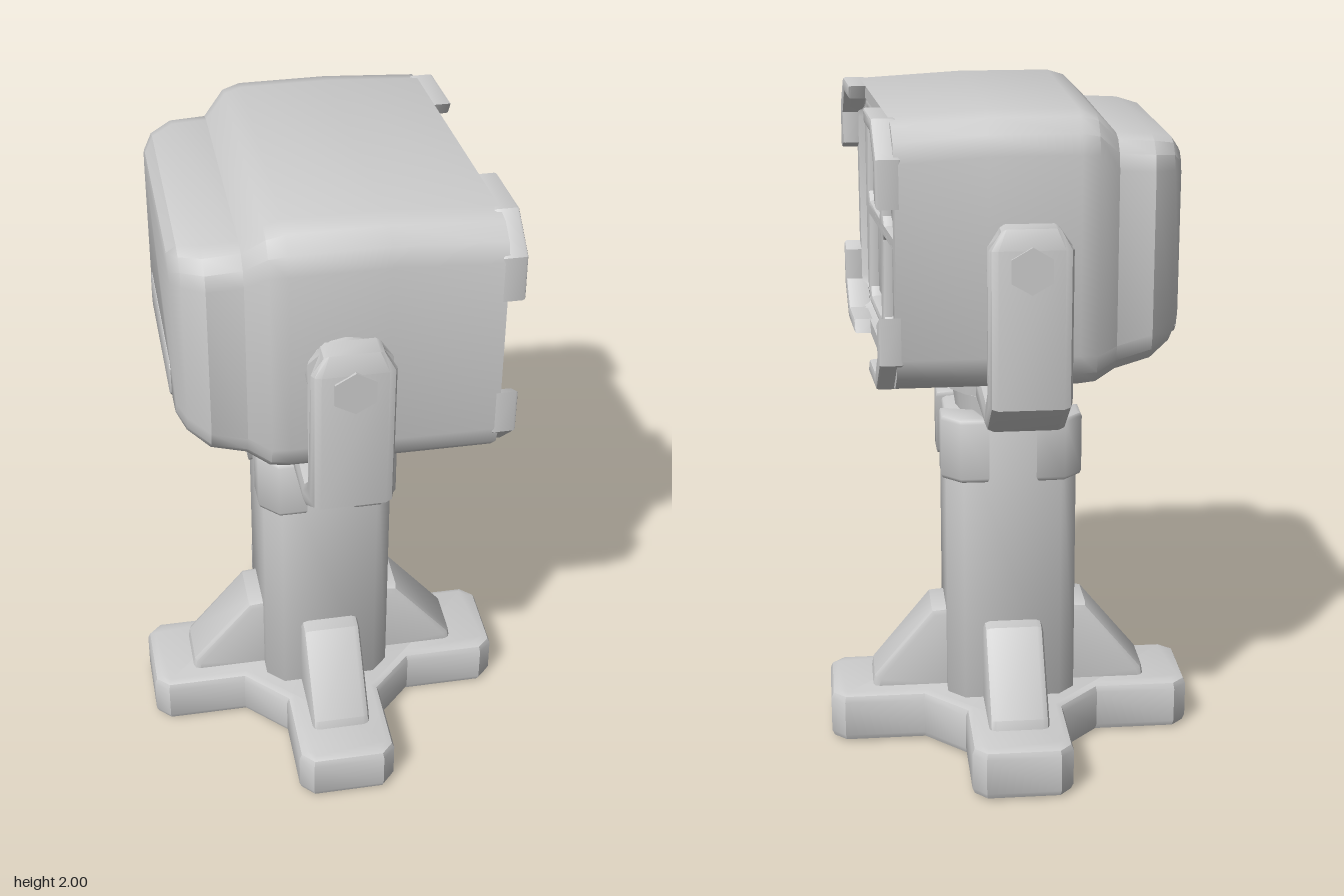
import * as THREE from 'three';
import { toCreasedNormals } from 'three/addons/utils/BufferGeometryUtils.js';

const grey = new THREE.MeshStandardMaterial({ color: 0xcccccc });
grey.name = 'plain grey';

function add(parent, name, geo, crease = 0.6) {
  const mesh = new THREE.Mesh(toCreasedNormals(geo, crease), grey);
  mesh.name = name;
  parent.add(mesh);
  return mesh;
}

const shapeOf = (pts) => new THREE.Shape(pts.map(([x, y]) => new THREE.Vector2(x, y)));

// Bevelled extrusion filling the given depth; the bevel stays inside the outline
function slab(shape, depth, bevel) {
  return new THREE.ExtrudeGeometry(shape, {
    depth: depth - 2 * bevel, bevelEnabled: true, bevelSize: bevel,
    bevelThickness: bevel, bevelOffset: -bevel, bevelSegments: 2,
  }).translate(0, 0, bevel);
}
const upright = (geo, y) => geo.rotateX(-Math.PI / 2).translate(0, y, 0);
const alongX = (geo, x) => geo.rotateY(Math.PI / 2).translate(x, 0, 0);

// Rectangle with cut corners, centred on the origin
function cutRect(w, h, c) {
  return [[w, -h + c], [w, h - c], [w - c, h], [-w + c, h],
    [-w, h - c], [-w, -h + c], [-w + c, -h], [w - c, -h]];
}

// Skin through rounded rectangles [x, bottom, top, halfWidth, cornerRadius]
function loft(rings) {
  const pos = [], index = [], steps = 3, n = 4 * (steps + 1);
  for (const [x, y0, y1, w, c] of rings) {
    const mid = (y0 + y1) / 2, h = (y1 - y0) / 2;
    for (let q = 0; q < 4; q++) {
      const sz = q === 0 || q === 3 ? 1 : -1, sy = q < 2 ? 1 : -1;
      for (let k = 0; k <= steps; k++) {
        const a = (q + k / steps) * Math.PI / 2;
        pos.push(x, mid + sy * (h - c) + c * Math.sin(a), -(sz * (w - c) + c * Math.cos(a)));
      }
    }
  }
  for (let i = 0; i < rings.length - 1; i++) {
    for (let j = 0; j < n; j++) {
      const a = i * n + j, b = i * n + (j + 1) % n;
      index.push(a, b, b + n, a, b + n, a + n);
    }
  }
  const end = (rings.length - 1) * n;
  for (let j = 1; j < n - 1; j++) {
    index.push(0, j + 1, j, end, end + j, end + j + 1);
  }
  const geo = new THREE.BufferGeometry();
  geo.setAttribute('position', new THREE.Float32BufferAttribute(pos, 3));
  geo.setIndex(index);
  return geo;
}

// The front of the lamp housing is slightly skewed
function skew(geo) {
  const p = geo.attributes.position;
  for (let i = 0; i < p.count; i++) {
    const f = THREE.MathUtils.clamp(p.getX(i) / 0.33, 0, 1);
    p.setX(i, p.getX(i) + 0.08 * f * p.getZ(i));
  }
  return geo;
}

function buildStand(model) {
  // Cross-shaped base with chamfered toes and filled inner corners
  const arm = [[0.27, -0.15], [0.515, -0.15], [0.557, -0.11], [0.557, 0.11], [0.515, 0.15], [0.27, 0.15]];
  const cross = [];
  for (let k = 0; k < 4; k++) {
    const c = [1, 0, -1, 0][k], s = [0, 1, 0, -1][k];
    for (const [x, y] of arm) cross.push([x * c - y * s, x * s + y * c]);
  }
  add(model, 'base', upright(slab(shapeOf(cross), 0.16, 0.025), 0));

  // Sloping ribs between the feet and the column
  const rib = shapeOf([[0.12, 0.13], [0.43, 0.13], [0.42, 0.19], [0.24, 0.41], [0.12, 0.42]]);
  for (let k = 0; k < 4; k++) {
    add(model, 'rib', slab(rib, 0.18, 0.02).translate(0, 0, -0.09)).rotation.y = k * Math.PI / 2;
  }

  add(model, 'column', upright(slab(shapeOf(cutRect(0.195, 0.195, 0.05)), 0.92, 0.015), 0.13), 0.9);

  // Corner brackets around the column head
  for (let k = 0; k < 4; k++) {
    const bracket = shapeOf([[0.1, 0.1], [0.21, 0.07], [0.21, 0.155], [0.155, 0.21], [0.07, 0.21]]);
    add(model, 'cornerBracket', upright(slab(bracket, 0.2, 0.015), 0.865), 0.9).rotation.y = k * Math.PI / 2;
  }
  add(model, 'neck', new THREE.CylinderGeometry(0.165, 0.15, 0.1, 16).translate(0, 1.06, 0));
}

function buildYoke(model) {
  const half = [[0, 1.1], [0.2, 1.1], [0.47, 1.115], [0.61, 1.22], [0.618, 1.665], [0.6, 1.72],
    [0.535, 1.72], [0.52, 1.665], [0.52, 1.26], [0.44, 1.185], [0.2, 1.19]];
  const outline = [...half, ...half.slice(1).reverse().map(([z, y]) => [-z, y])];
  const geo = alongX(slab(shapeOf(outline), 0.23, 0.025), -0.125);
  // Narrow the tips of the arms
  const p = geo.attributes.position;
  for (let i = 0; i < p.count; i++) {
    if (p.getY(i) > 1.685) p.setX(i, -0.01 + (p.getX(i) + 0.01) * 0.75);
  }
  add(model, 'yoke', geo);
  add(model, 'swivelHub', new THREE.CylinderGeometry(0.2, 0.19, 0.09, 16).translate(0, 1.165, 0));

  for (const s of [-1, 1]) {
    const disc = new THREE.CylinderGeometry(0.11, 0.11, 0.07, 16).rotateX(Math.PI / 2);
    add(model, 'pivotDisc', disc.translate(-0.01, 1.58, s * 0.495));
    const bolt = new THREE.CylinderGeometry(0.065, 0.065, 0.04, 6).rotateX(Math.PI / 2);
    add(model, 'pivotBolt', bolt.translate(-0.01, 1.61, s * 0.604));
  }
}

function buildHead(model) {
  const head = new THREE.Group();
  head.name = 'lampHead';
  model.add(head);

  // Stepped housing, ending in a recessed front
  add(head, 'housing', skew(loft([
    [-0.455, 1.36, 1.87, 0.33, 0.06],
    [-0.43, 1.32, 1.905, 0.375, 0.08],
    [-0.37, 1.28, 1.92, 0.42, 0.09],
    [-0.27, 1.25, 1.925, 0.42, 0.09],
    [-0.21, 1.225, 1.985, 0.465, 0.1],
    [-0.16, 1.22, 2.0, 0.476, 0.11],
    [0.1, 1.22, 2.0, 0.476, 0.11],
    [0.385, 1.22, 1.982, 0.478, 0.11],
    [0.385, 1.26, 1.945, 0.435, 0.09],
    [0.33, 1.275, 1.93, 0.415, 0.08],
  ])));

  // Corner guards leave a notch in the middle of each edge
  for (const sy of [-1, 1]) {
    for (const sz of [-1, 1]) {
      const guard = shapeOf([[0.478, 0.15], [0.478, 0.285], [0.385, 0.38], [0.2, 0.38],
        [0.22, 0.34], [0.365, 0.34], [0.435, 0.265], [0.435, 0.17]].map(([z, y]) => [z * sz, y * sy]));
      const geo = alongX(slab(guard, 0.07, 0.008), 0.365).translate(0, 1.602, 0);
      add(head, 'cornerGuard', skew(geo));
    }
  }

  // Window frame with four openings and a pane behind each
  const frame = shapeOf(cutRect(0.4, 0.325, 0.06));
  for (const z of [-0.185, 0.185]) {
    for (const y of [-0.152, 0.152]) {
      const hole = cutRect(0.155, 0.141, 0.025).map(([a, b]) => new THREE.Vector2(a + z, b + y));
      frame.holes.push(new THREE.Path(hole.reverse()));
      const pane = alongX(slab(shapeOf(cutRect(0.135, 0.125, 0.02)), 0.02, 0.006), 0.325);
      add(head, 'lightPane', skew(pane.translate(0, 1.603 + y, z)));
    }
  }
  add(head, 'windowFrame', skew(alongX(slab(frame, 0.05, 0.012), 0.32).translate(0, 1.603, 0)));

  // Low plate on the back
  const plate = slab(shapeOf(cutRect(0.25, 0.06, 0.02)), 0.03, 0.008);
  add(head, 'rearPlate', alongX(plate, -0.459).translate(0, 1.4, -0.05));
}

export function createModel() {
  const model = new THREE.Group();
  model.name = 'floodlight';
  const turned = new THREE.Group();
  turned.name = 'turnedAssembly';
  turned.rotation.y = 0.185;
  model.add(turned);
  buildStand(turned);
  buildYoke(turned);
  buildHead(turned);
  return model;
}
